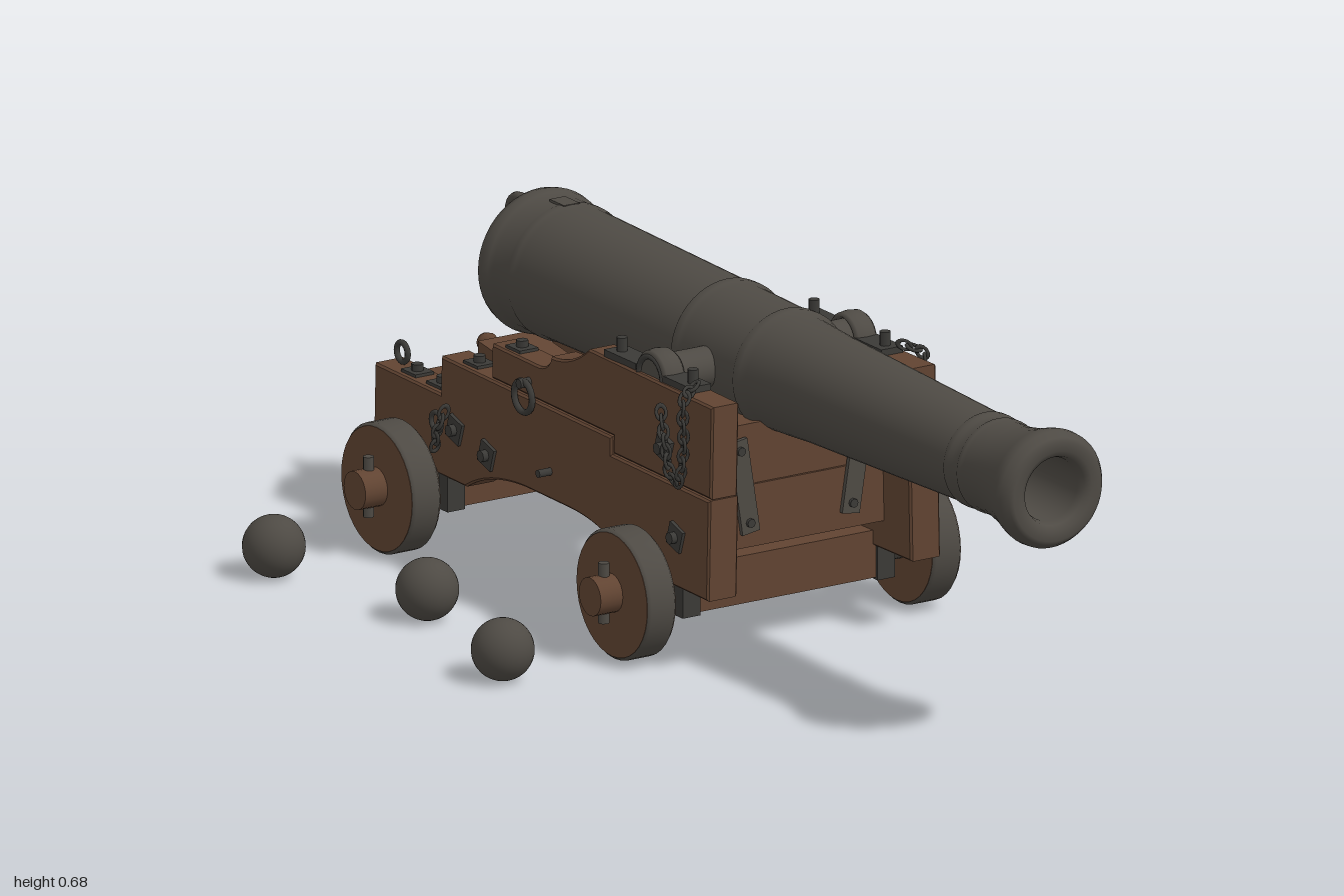
import * as THREE from 'three';

export function createModel() {
  const root = new THREE.Group();
  root.name = 'shipCannon';
  const mat = (name, color) => {
    const m = new THREE.MeshStandardMaterial({ color });
    m.name = name;
    return m;
  };
  const iron = mat('iron', 0x4e4a44);
  const wood = mat('wood', 0x614432);
  const darkIron = mat('darkIron', 0x3b3a37);

  // Everything but the shot is symmetric about this group's x = 0
  const gun = new THREE.Group();
  gun.name = 'gunAndCarriage';
  gun.position.x = 0.128;
  root.add(gun);

  const add = (name, geo, material, x = 0, y = 0, z = 0, parent = gun) => {
    const m = new THREE.Mesh(geo, material);
    m.name = name;
    m.position.set(x, y, z);
    parent.add(m);
    return m;
  };
  const box = (name, material, w, h, d, x, y, z) => add(name, new THREE.BoxGeometry(w, h, d), material, x, y, z);
  const rodX = (name, material, r, len, x, y, z, seg = 20) =>
    add(name, new THREE.CylinderGeometry(r, r, len, seg).rotateZ(Math.PI / 2), material, x, y, z);
  const ringX = (name, r, tube, x, y, z) =>
    add(name, new THREE.TorusGeometry(r, tube, 8, 20).rotateY(Math.PI / 2), darkIron, x, y, z);

  // Barrel: cascabel, breech, mouldings, muzzle and bore as [radius, z]
  const profile = [
    [0, -0.93], [0.018, -0.926], [0.024, -0.915], [0.04, -0.905], [0.05, -0.885], [0.046, -0.86], [0.034, -0.845],
    [0.04, -0.835], [0.085, -0.822], [0.115, -0.808], [0.128, -0.792], [0.141, -0.785], [0.144, -0.77],
    [0.141, -0.752], [0.134, -0.745], [0.133, -0.7], [0.136, -0.69], [0.136, -0.675], [0.132, -0.665],
    [0.124, -0.145], [0.129, -0.138], [0.129, -0.118], [0.123, -0.11], [0.12, 0.06], [0.124, 0.068],
    [0.124, 0.088], [0.115, 0.1], [0.108, 0.22], [0.0915, 0.745], [0.095, 0.752], [0.095, 0.765], [0.091, 0.772],
    [0.091, 0.79], [0.094, 0.796], [0.094, 0.806], [0.091, 0.812], [0.093, 0.86], [0.103, 0.915], [0.114, 0.95],
    [0.117, 0.965], [0.116, 0.98], [0.106, 0.995], [0.098, 1], [0.08, 1], [0.068, 0.992], [0.063, 0.975],
    [0.062, 0.6], [0, 0.595],
  ].map(([r, z]) => new THREE.Vector2(r, z));
  const axisY = 0.533;
  add('barrel', new THREE.LatheGeometry(profile, 48).rotateX(Math.PI / 2), iron, 0, axisY, 0);
  add('breechRing', new THREE.TorusGeometry(0.034, 0.011, 10, 24).rotateY(Math.PI / 2), iron, 0, 0.603, -0.853);
  rodX('trunnions', iron, 0.04, 0.48, 0, axisY, -0.037, 28);
  box('ventPatch', iron, 0.035, 0.012, 0.05, 0, 0.664, -0.7);

  // Cheek planks: [z, y] outlines, leaning and converging to the rear
  const cheekX = (y, z) => 0.229 - 0.028 * (0.19 - z) / 1.19 - 0.02 * (y - 0.3);
  const plank = (name, s, thick, draw) => {
    const shape = new THREE.Shape();
    draw({
      start: (z, y) => shape.moveTo(-z, y),
      line: (...pts) => pts.forEach(([z, y]) => shape.lineTo(-z, y)),
      curve: (cz, cy, z, y) => shape.quadraticCurveTo(-cz, cy, -z, y),
    });
    const geo = new THREE.ExtrudeGeometry(shape, {
      depth: thick - 0.008, bevelThickness: 0.004, bevelSize: 0.004, bevelOffset: -0.004, bevelSegments: 1, curveSegments: 14,
    }).rotateY(Math.PI / 2);
    const p = geo.attributes.position;
    for (let i = 0; i < p.count; i++) {
      p.setX(i, p.getX(i) + 0.004 - thick / 2 + s * cheekX(p.getY(i), p.getZ(i)));
    }
    geo.computeVertexNormals();
    add(name, geo, wood);
  };

  // Chain of alternating oval links
  const chain = (name, pts) => {
    const curve = new THREE.CatmullRomCurve3(pts.map((p) => new THREE.Vector3(...p)));
    const n = Math.round(curve.getLength() / 0.019);
    const group = new THREE.Group();
    group.name = name;
    gun.add(group);
    const link = new THREE.TorusGeometry(0.0095, 0.0035, 6, 12).scale(1.45, 1, 1);
    for (let i = 0; i <= n; i++) {
      const q = curve.getPointAt(i / n);
      const m = add('chainLink', link, darkIron, q.x, q.y, q.z, group);
      m.quaternion.setFromUnitVectors(new THREE.Vector3(1, 0, 0), curve.getTangentAt(i / n));
      m.rotateX((i % 2) * Math.PI / 2 + 0.4);
    }
  };

  for (const s of [-1, 1]) {
    plank('lowerCheek', s, 0.068, (k) => {
      k.start(0.197, 0.15);
      k.line([-0.1, 0.15]);
      k.curve(-0.17, 0.203, -0.3, 0.205);
      k.line([-0.46, 0.205]);
      k.curve(-0.59, 0.2, -0.67, 0.15);
      k.line([-1, 0.15], [-1, 0.31], [-0.765, 0.31], [-0.765, 0.385], [-0.155, 0.385], [-0.155, 0.35], [0.197, 0.35]);
    });
    plank('upperCheek', s, 0.062, (k) => {
      k.start(0.197, 0.352);
      k.line([-0.153, 0.352], [-0.153, 0.387], [-0.59, 0.387], [-0.59, 0.455], [-0.42, 0.455]);
      k.curve(-0.385, 0.46, -0.38, 0.485);
      k.curve(-0.31, 0.485, -0.245, 0.535);
      k.line([0.197, 0.535]);
    });

    // Cap square holding the trunnion
    const capX = s * cheekX(0.535, -0.04);
    for (const [z, d] of [[0.055, 0.09], [-0.14, 0.11]]) {
      box('capStrap', darkIron, 0.05, 0.014, d, capX, 0.541, z);
    }
    const cap = new THREE.CylinderGeometry(0.052, 0.052, 0.054, 24, 1, false, 0, Math.PI).rotateZ(Math.PI / 2);
    cap.rotateX(0);
    const capMesh = add('capSquare', new THREE.TorusGeometry(0.046, 0.008, 8, 20, Math.PI).rotateY(Math.PI / 2).scale(3.2, 1, 1), iron, capX, axisY, -0.037);
    capMesh.castShadow = false;
    cap.dispose();
    ringX('trunnionRim', 0.041, 0.006, s * 0.241, axisY, -0.037);
    for (const z of [0.075, -0.17]) {
      add('capBolt', new THREE.CylinderGeometry(0.011, 0.011, 0.03, 8), darkIron, capX, 0.56, z);
    }

    // Bolt heads on top of the steps
    for (const [y, z] of [[0.457, -0.53], [0.387, -0.68], [0.312, -0.81], [0.312, -0.9]]) {
      const x = s * cheekX(y, z);
      box('topPlate', darkIron, 0.042, 0.008, 0.05, x, y, z);
      add('topBolt', new THREE.CylinderGeometry(0.012, 0.012, 0.022, 8), darkIron, x, y + 0.006, z);
    }
    ringX('rearEyeRing', 0.019, 0.006, s * cheekX(0.34, -0.955), 0.337, -0.955);

    // Square bolt plates on the outer faces
    for (const [y, z] of [[0.25, 0.085], [0.235, -0.59], [0.415, 0.035], [0.255, -0.705]]) {
      const x = s * (cheekX(y, z) + 0.036);
      const plate = box('boltPlate', darkIron, 0.01, 0.046, 0.046, x, y, z);
      plate.rotation.x = 0.3;
      rodX('boltHead', darkIron, 0.012, 0.022, x + s * 0.006, y, z, 8);
    }

    // Breeching and tackle rings
    ringX('tackleRing', 0.031, 0.0065, s * (cheekX(0.39, -0.455) + 0.044), 0.388, -0.455);
    rodX('ringBolt', darkIron, 0.01, 0.04, s * (cheekX(0.41, -0.455) + 0.035), 0.415, -0.455, 8);
    rodX('sideHook', darkIron, 0.008, 0.035, s * (cheekX(0.26, -0.37) + 0.045), 0.26, -0.37, 8);
    ringX('chainRing', 0.018, 0.005, s * 0.272, 0.27, -0.73);

    // Hanging chains
    chain('capChain', [[s * 0.24, 0.553, 0.11], [s * 0.272, 0.535, 0.125], [s * 0.272, 0.43, 0.122],
      [s * 0.274, 0.365, 0.105], [s * 0.276, 0.375, 0.085], [s * 0.28, 0.44, 0.07], [s * 0.272, 0.49, 0.045]]);
    chain('tackleChain', [[s * 0.265, 0.29, -0.715], [s * 0.277, 0.255, -0.72], [s * 0.272, 0.22, -0.735]]);

    // Slanted straps on the front transom
    const strap = box('transomStrap', iron, 0.04, 0.19, 0.009, s * 0.128, 0.335, 0.113);
    strap.rotation.z = s * -0.155;
    for (const t of [-1, 1]) {
      add('strapRivet', new THREE.CylinderGeometry(0.009, 0.009, 0.012, 8).rotateX(Math.PI / 2), darkIron,
        s * (0.128 + t * 0.011), 0.335 + t * 0.073, 0.118);
    }
  }

  // Axles and trucks
  for (const z of [0.005, -0.807]) {
    box('axleBeam', wood, 0.46, 0.095, 0.13, 0, 0.1335, z);
    for (const s of [-1, 1]) {
      box('axleBand', darkIron, 0.04, 0.105, 0.14, s * 0.222, 0.1335, z);
      rodX('axleCollar', iron, 0.042, 0.07, s * 0.268, 0.135, z);
      rodX('axleEnd', wood, 0.038, 0.115, s * 0.35, 0.135, z);
      add('linchpin', new THREE.CylinderGeometry(0.011, 0.011, 0.12, 8), iron, s * 0.376, 0.138, z);
      const tread = new THREE.LatheGeometry(
        [[0.121, -0.0325], [0.128, -0.026], [0.128, 0.026], [0.121, 0.0325]].map((q) => new THREE.Vector2(...q)), 36);
      add('wheelTread', tread.rotateZ(Math.PI / 2), iron, s * 0.325, 0.13, z);
      rodX('wheelDisc', wood, 0.122, 0.065, s * 0.325, 0.13, z, 36);
    }
  }

  // Cross members between the cheeks
  box('upperTransom', wood, 0.4, 0.12, 0.07, 0, 0.395, 0.07);
  box('lowerTransom', wood, 0.4, 0.124, 0.076, 0, 0.272, 0.07);
  rodX('frontCrossBolt', darkIron, 0.011, 0.5, 0, 0.25, 0.085, 10);
  rodX('rearCrossBolt', darkIron, 0.011, 0.48, 0, 0.235, -0.59, 10);
  box('rearTransom', wood, 0.36, 0.06, 0.12, 0, 0.21, -0.82);

  // Bed, quoin and its handle
  box('bed', wood, 0.27, 0.045, 0.53, 0, 0.262, -0.715);
  for (const s of [-1, 1]) {
    add('bedBolt', new THREE.CylinderGeometry(0.012, 0.012, 0.012, 8), darkIron, s * 0.09, 0.288, -0.89);
  }
  const wedge = new THREE.Shape([[0.55, 0.284], [0.9, 0.284], [0.9, 0.35], [0.55, 0.3]].map((q) => new THREE.Vector2(...q)));
  add('quoin', new THREE.ExtrudeGeometry(wedge, { depth: 0.13, bevelEnabled: false }).rotateY(Math.PI / 2), wood, -0.065);
  const handle = [[0, -0.985], [0.017, -0.978], [0.021, -0.962], [0.012, -0.94], [0.016, -0.89]].map((q) => new THREE.Vector2(...q));
  add('quoinHandle', new THREE.LatheGeometry(handle, 16).rotateX(Math.PI / 2), wood, 0, 0.318, 0);

  // Round shot on the ground
  for (const [x, z] of [[-0.475, -0.79], [-0.383, -0.4], [-0.475, 0]]) {
    add('roundShot', new THREE.SphereGeometry(0.061, 28, 20), iron, x, 0.063, z, root);
  }
  return root;
}
